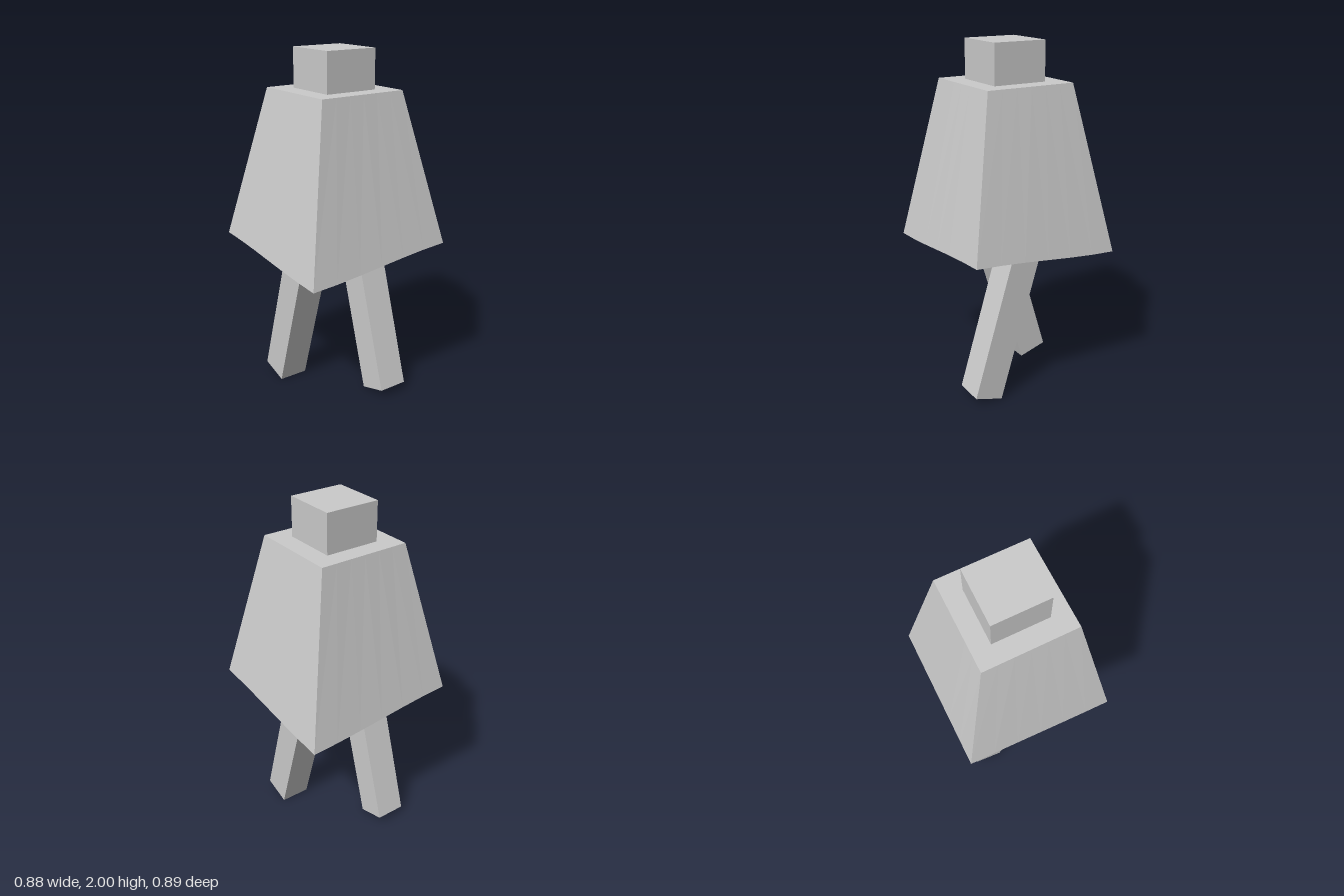
import * as THREE from 'three';

const material = new THREE.MeshStandardMaterial({ color: 0xcccccc, flatShading: true });

function addMesh(group, geometry, name) {
  const mesh = new THREE.Mesh(geometry, material);
  mesh.name = name;
  group.add(mesh);
  return mesh;
}

// Flared square cloak whose lower hem waves as a saddle
function cloakGeometry() {
  const geometry = new THREE.BoxGeometry(2, 1, 2, 6, 1, 6);
  const p = geometry.attributes.position;
  const wave = (u) => Math.sin(u * 1.2) / Math.sin(1.2);
  for (let i = 0; i < p.count; i++) {
    const u = p.getX(i), v = p.getZ(i);
    if (p.getY(i) > 0) p.setXYZ(i, u * 0.262 + v * 0.002, 1.78, v * 0.264);
    else p.setXYZ(i, u * 0.438, 0.885 - 0.04 * wave(u) * wave(v), v * 0.446);
  }
  geometry.computeVertexNormals();
  return geometry;
}

export function createModel() {
  const model = new THREE.Group();
  model.name = 'cloakedFigure';

  addMesh(model, cloakGeometry(), 'cloak');
  addMesh(model, new THREE.BoxGeometry(0.314, 0.24, 0.314), 'head').position.y = 1.88;

  // Crossing legs: one at the front, one at the back, leaning opposite ways
  const length = 0.95, tilt = 0.293;
  for (const side of [-1, 1]) {
    const geometry = new THREE.BoxGeometry(0.174, length, 0.174).translate(0, length / 2, 0);
    const leg = addMesh(model, geometry, side < 0 ? 'rightLeg' : 'leftLeg');
    leg.position.set(side * 0.266, 0.026, -side * 0.178);
    leg.rotation.z = side * tilt;
  }
  return model;
}
